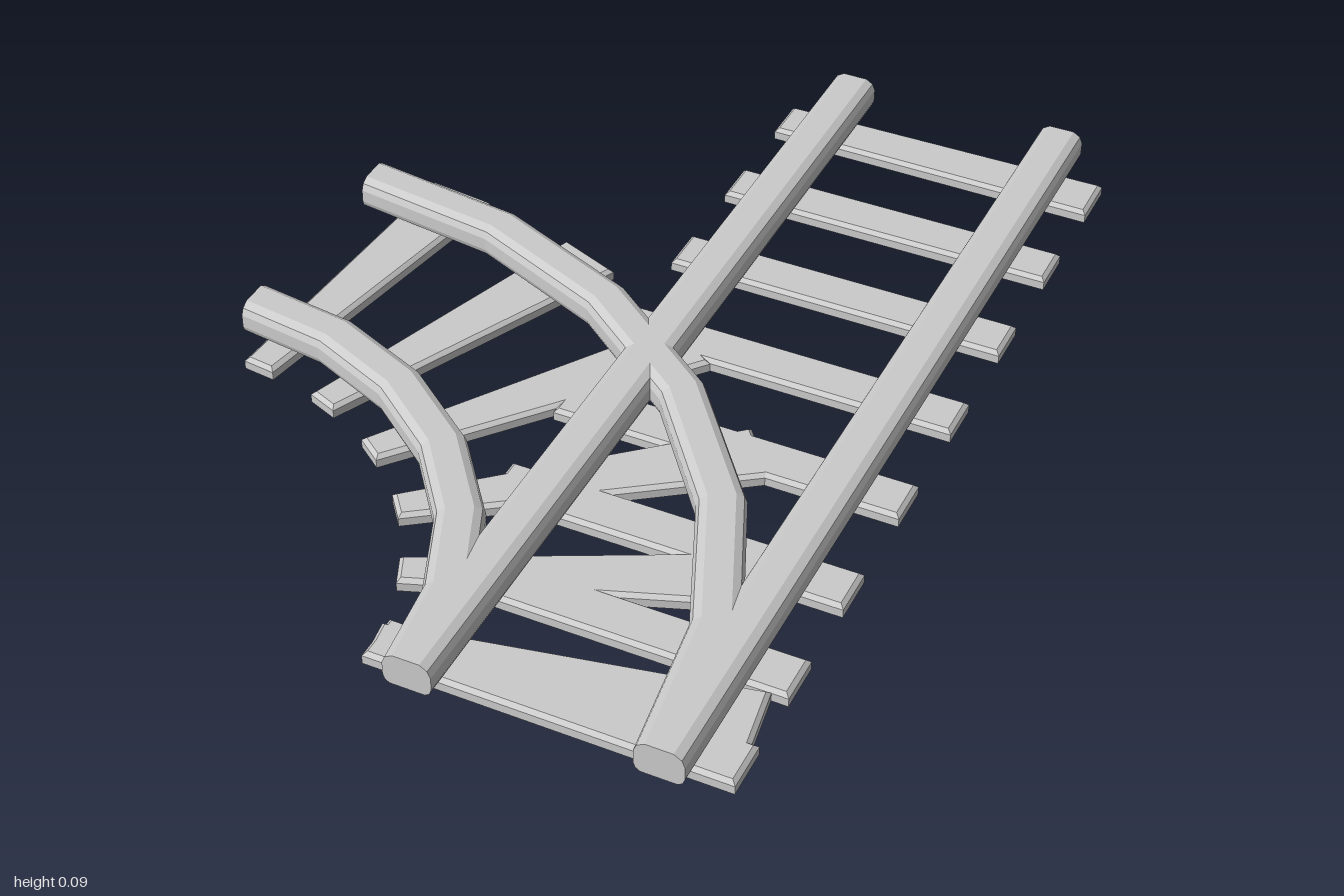
import * as THREE from 'three';

const material = new THREE.MeshStandardMaterial({ color: 0xcccccc, flatShading: true });

// Closed solid through a list of rings (counter-clockwise seen from the last ring's side)
function loft(name, rings) {
  const n = rings[0].length, last = rings.length - 1, index = [];
  for (let i = 0; i < last; i++) {
    for (let j = 0; j < n; j++) {
      const k = (j + 1) % n;
      const a = i * n + j, b = i * n + k, c = b + n, d = a + n;
      index.push(a, b, c, a, c, d);
    }
  }
  for (let j = 1; j < n - 1; j++) {
    index.push(0, j + 1, j, last * n, last * n + j, last * n + j + 1);
  }
  const geometry = new THREE.BufferGeometry();
  geometry.setAttribute('position', new THREE.Float32BufferAttribute(rings.flat(2), 3));
  geometry.setIndex(index);
  const flat = geometry.toNonIndexed();
  flat.computeVertexNormals();
  const mesh = new THREE.Mesh(flat, material);
  mesh.name = name;
  return mesh;
}

// Rail cross-section: sideways offset and height
const half = [[0.034, 0.028], [0.043, 0.034], [0.047, 0.045], [0.047, 0.072], [0.041, 0.086], [0.026, 0.095]];
const section = [...half, ...half.map(([u, y]) => [-u, y]).reverse()];
const railX = [0.087, 0.557];
const centre = { x: -0.678, z: 1 }; // centre of the branch curve

function straightRail(x) {
  return loft('straightRail', [-1, 1].map((z) => section.map(([u, y]) => [x + u, y, z])));
}

// Quarter-circle rail in six straight segments
function curvedRail(radius) {
  const rings = [];
  for (let i = 6; i >= 0; i--) {
    const t = (i / 6) * Math.PI / 2;
    rings.push(section.map(([u, y]) => [
      centre.x + (radius + u) * Math.cos(t), y, centre.z - (radius + u) * Math.sin(t)]));
  }
  return loft('curvedRail', rings);
}

// Plank with bevelled top, from distance r0 to r1 along angle t, half-widths w0 and w1
function tie(name, ox, oz, t, r0, r1, w0, w1) {
  const c = Math.cos(t), s = Math.sin(t);
  const ring = (y, e) => [[r0 + e, w0 - e], [r1 - e, w1 - e], [r1 - e, e - w1], [r0 + e, e - w0]]
    .map(([r, w]) => [ox + r * c + w * s, y, oz - r * s + w * c]);
  return loft(name, [ring(0, 0), ring(0.018, 0), ring(0.026, 0.008)]);
}

export function createModel() {
  const model = new THREE.Group();
  model.name = 'railwaySwitch';

  // Rails
  for (const x of railX) {
    model.add(straightRail(x), curvedRail(x - centre.x));
  }

  // Ties of the straight track
  [-0.883, -0.62, -0.355, -0.09, 0.175, 0.44, 0.682, 0.905].forEach((z, i) => {
    model.add(tie('straightTie', 0, z, 0, -0.028, 0.674, 0.05, i === 0 ? 0.056 : 0.05));
  });

  // Tapered ties fanning out under the branch
  for (let i = 0; i < 6; i++) {
    const t = THREE.MathUtils.degToRad(83.5 - 15 * i);
    model.add(tie('branchTie', centre.x, centre.z, t, 0.655, 1.345, 0.034, 0.071));
  }
  return model;
}
